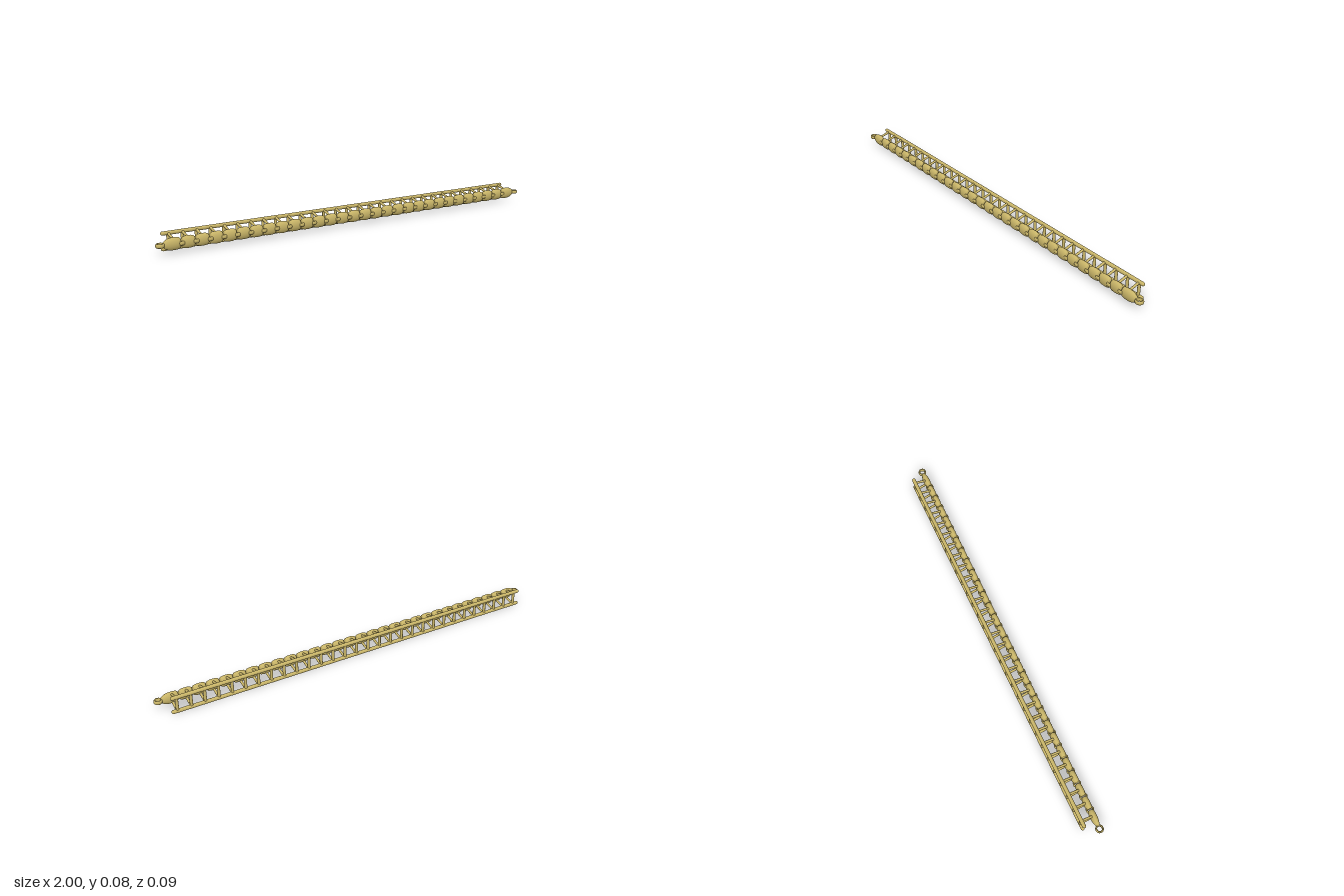
import * as THREE from 'three';

const PITCH = 0.0635, COUNT = 30;
const SPINE_Y = 0.043, SPINE_Z = 0.026;
const RAIL_Z = -0.035, RAIL_YS = [0.009, 0.076], RAIL_R = 0.0088;

export function createModel() {
  const model = new THREE.Group();
  const mat = new THREE.MeshStandardMaterial({ color: 0xc9b568 });

  const add = (name, geometry) => {
    const mesh = new THREE.Mesh(geometry, mat);
    mesh.name = name;
    model.add(mesh);
    return mesh;
  };

  // round bar between two points
  const bar = (name, a, b, rA, rB) => {
    const dir = b.clone().sub(a);
    const mesh = add(name, new THREE.CylinderGeometry(rB, rA, dir.length(), 14));
    mesh.position.copy(a).add(b).multiplyScalar(0.5);
    mesh.quaternion.setFromUnitVectors(new THREE.Vector3(0, 1, 0), dir.normalize());
  };

  // flattened barrel turned about the x axis; profile runs [radius, x]
  const barrel = (points) => new THREE.LatheGeometry(
    points.map(([r, x]) => new THREE.Vector2(r, x)), 24)
    .rotateZ(-Math.PI / 2).scale(1, 1, 0.58);

  const linkGeo = barrel([[0, -0.029], [0.019, -0.029], [0.024, -0.024], [0.0268, -0.013], [0.0275, 0],
    [0.0268, 0.013], [0.024, 0.024], [0.019, 0.029], [0, 0.029]]);
  const endGeo = barrel([[0, -0.029], [0.019, -0.029], [0.024, -0.024], [0.0268, -0.013], [0.0275, 0],
    [0.0268, 0.015], [0.024, 0.027], [0.019, 0.038], [0.012, 0.047], [0, 0.048]]);

  // ring with a vertical hole, rounded outside
  const eyeGeo = new THREE.LatheGeometry([[0.011, -0.007], [0.015, -0.009], [0.018, -0.006], [0.019, 0],
    [0.018, 0.006], [0.015, 0.009], [0.011, 0.007], [0.011, -0.007]]
    .map(([r, y]) => new THREE.Vector2(r, y)), 24);

  // linked spine with one tapered link at each end
  for (let i = 0; i < COUNT; i++) {
    const x = (i - (COUNT - 1) / 2) * PITCH;
    const isEnd = i === 0 || i === COUNT - 1;
    const link = add(isEnd ? 'endLink' : 'spineLink', isEnd ? endGeo : linkGeo);
    link.position.set(x, SPINE_Y, SPINE_Z);
    if (i === 0) link.rotation.y = Math.PI;

    // bracing frame behind every link
    const corners = RAIL_YS.map((y) => new THREE.Vector3(x, y, RAIL_Z));
    bar('rearUpright', corners[0], corners[1], 0.007, 0.007);
    corners.forEach((corner, k) => {
      const foot = new THREE.Vector3(x, SPINE_Y + (k ? 0.018 : -0.018), SPINE_Z - 0.008);
      bar('strut', foot, corner, 0.0055, 0.0058);
    });

    // joint ring between neighbouring links
    if (i < COUNT - 1) {
      add('jointRing', eyeGeo).position.set(x + PITCH / 2, SPINE_Y, SPINE_Z);
    }
  }

  // eyelets at the tips
  for (const side of [-1, 1]) {
    add('endEyelet', eyeGeo).position.set(side * 0.981, SPINE_Y, SPINE_Z);
  }

  // rear rails with rounded ends
  for (const y of RAIL_YS) {
    const rail = add('rearRail', new THREE.CapsuleGeometry(RAIL_R, 1.884, 5, 16));
    rail.rotation.z = Math.PI / 2;
    rail.position.set(-0.003, y, RAIL_Z);
  }

  return model;
}
